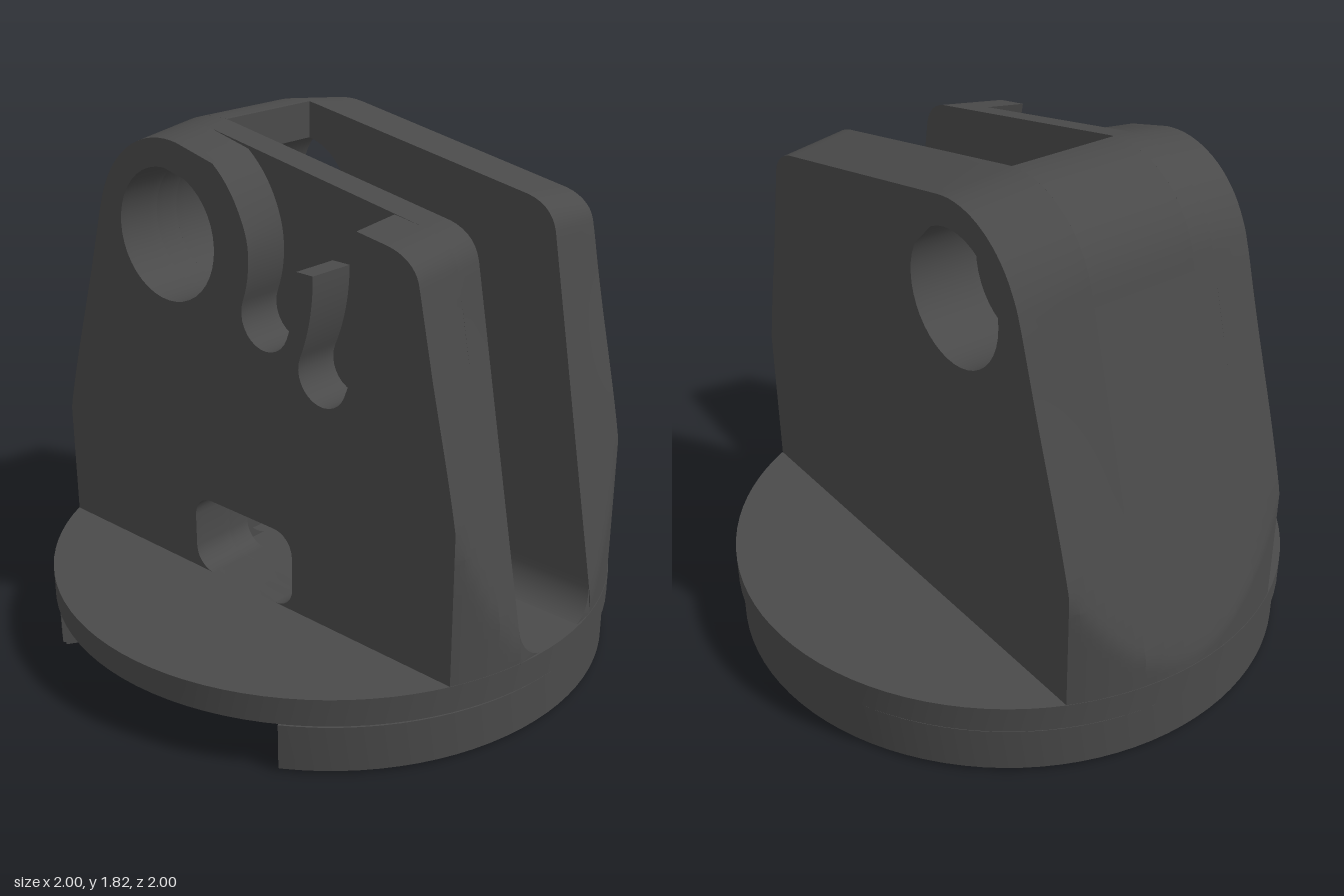
import * as THREE from 'three';
import { toCreasedNormals } from 'three/addons/utils/BufferGeometryUtils.js';

const material = new THREE.MeshStandardMaterial({ color: 0x4a4a4a });
const HALF = 0.45, SLOT = 0.2, POCKET = 0.29;      // tower half width, slot half width, pocket floor
const PIN = [-0.32, 1.47];                         // pin hole centre as (z, y)
const SLOT_BACK = -0.28, FLOOR = 0.275;

const V = (a, b) => new THREE.Vector2(a, b);
const polar = (r, a, c = PIN) => V(c[0] + r * Math.cos(a), c[1] + r * Math.sin(a));
const arc = (r, a0, a1, n = 20, c = PIN) =>
  Array.from({ length: n + 1 }, (_, i) => polar(r, a0 + (a1 - a0) * i / n, c));
const line = (p, q, n) => Array.from({ length: n + 1 }, (_, i) => p.clone().lerp(q, i / n));

// Profile pieces in the (z, y) plane
const frontEdge = () => [
  ...line(V(1, 0.2), V(0.755, 1.55), 45),
  ...new THREE.QuadraticBezierCurve(V(0.755, 1.55), V(0.735, 1.64), V(0.62, 1.655)).getPoints(8).slice(1),
];
const backEdge = (startAngle) => [
  ...arc(0.35, startAngle, 2.871, 18),
  ...line(V(-0.657, 1.563), V(-1, 0.3), 45).slice(1),
  V(-1, 0.2),
];

// Arc-shaped pocket with two round-ended grooves and a rib between them
function pocketEdge() {
  const groove = (rOut, rIn, aOut, aIn, end) => {
    const r = (rOut + rIn) / 2, c = polar(r, end);
    return [
      ...arc(rOut, aOut, end, 14),
      ...arc((rOut - rIn) / 2, end, end - Math.PI, 14, [c.x, c.y]).slice(1),
      ...arc(rIn, end, aIn, 18).slice(1),
    ];
  };
  return [
    ...groove(0.86, 0.66, 0.237, 0, -0.43),
    ...groove(0.59, 0.38, 0, 0.93, -0.4),
  ];
}

function windowHole() {
  const r = 0.08, z = 0.23 - r, y0 = FLOOR + r, y1 = 0.555 - r, q = Math.PI / 2;
  return [
    ...arc(r, 0, q, 6, [z, y1]), ...arc(r, q, 2 * q, 6, [-z, y1]),
    ...arc(r, 2 * q, 3 * q, 6, [-z, y0]), ...arc(r, 3 * q, 4 * q, 6, [z, y0]),
  ];
}

function add(group, name, geometry) {
  const mesh = new THREE.Mesh(toCreasedNormals(geometry, 0.45), material);
  mesh.name = name;
  group.add(mesh);
}

function reshape(geometry, rule) {
  const p = geometry.attributes.position, v = new THREE.Vector3();
  for (let i = 0; i < p.count; i++) {
    v.fromBufferAttribute(p, i);
    rule(v);
    p.setXYZ(i, v.x, v.y, v.z);
  }
  return geometry;
}

// Trim to the round base and narrow the upper rim slightly toward the sides
function trimTower(v) {
  const t = Math.max(0, (Math.abs(v.x) - SLOT) / (HALF - SLOT));
  const away = Math.hypot(v.z - PIN[0], v.y - PIN[1]) > 0.3;
  if (away) {
    const d = 0.03 * t * THREE.MathUtils.smoothstep(v.y, 0.8, 1.5);
    v.z -= d * v.z;
    v.y -= d * THREE.MathUtils.smoothstep(v.y, 1.45, 1.65);
  }
  const limit = 0.998 * Math.sqrt(1 - v.x * v.x);
  v.z = THREE.MathUtils.clamp(v.z, -limit, limit);
}

// Slab of the tower between two x positions
function slab(points, holes, x0, x1, steps) {
  const shape = new THREE.Shape(points);
  shape.holes = holes.map((h) => new THREE.Path(h));
  const g = new THREE.ExtrudeGeometry(shape, { depth: x1 - x0, steps, bevelEnabled: false });
  g.rotateY(-Math.PI / 2).translate(x1, 0, 0);
  return reshape(g, trimTower);
}

// Rounded corner strip at the bottom of the slot
function slotFillet(side, z0, z1) {
  const r = 0.12, pts = [V(SLOT, 0.27), ...arc(r, 0, -Math.PI / 2, 8, [SLOT - r, 0.27 + r])];
  const shape = new THREE.Shape(pts.map((p) => V(p.x * side, p.y)));
  const g = new THREE.ExtrudeGeometry(shape, { depth: z1 - z0, bevelEnabled: false }).translate(0, 0, z0);
  return reshape(g, (v) => {
    v.z = Math.min(v.z, 1 - (v.y - 0.2) * 0.1815, Math.sqrt(1 - v.x * v.x));
  });
}

// Disc with a wedge missing on the right and a round relief at its centre
function wedgeDisc(radius, y0, y1) {
  const a = Math.PI - 0.565;
  const shape = new THREE.Shape([...arc(radius, -a, a, 80, [0, 0]), ...arc(0.1, a, -a, 24, [0, 0])]);
  return new THREE.ExtrudeGeometry(shape, { depth: y1 - y0, bevelEnabled: false })
    .rotateX(-Math.PI / 2).translate(0, y0, 0);
}

export function createModel() {
  const model = new THREE.Group();
  model.name = 'swivelBracket';

  // Base
  const base = new THREE.Group();
  base.name = 'base';
  add(base, 'flange', new THREE.CylinderGeometry(1, 1, 0.095, 96).translate(0, 0.2275, 0));
  add(base, 'neck', wedgeDisc(0.965, 0.16, 0.185));
  add(base, 'lowerDisc', wedgeDisc(0.99, 0.01, 0.168));
  add(base, 'lowerRim', wedgeDisc(0.98, 0, 0.012));
  model.add(base);

  // Tower
  const tower = new THREE.Group();
  tower.name = 'tower';
  const pinHole = arc(0.225, 0, Math.PI * 2, 40).slice(0, -1);
  const full = [...frontEdge(), ...backEdge(1.405)];
  const pocketed = [...frontEdge(), ...pocketEdge(), ...backEdge(1.405)];
  const rear = [V(SLOT_BACK, 0.2), ...arc(0.225, -1.392, -4.891, 28), ...backEdge(1.456)];

  add(tower, 'leftCheek', slab(full, [pinHole], SLOT, HALF, 8));
  add(tower, 'rightCheekInner', slab(full, [pinHole, windowHole()], -POCKET, -SLOT, 3));
  add(tower, 'rightCheekOuter', slab(pocketed, [pinHole, windowHole()], -HALF, -POCKET, 5));
  add(tower, 'rearWall', slab(rear, [], -SLOT, SLOT, 10));

  // Slot floor corners, interrupted by the side window
  add(tower, 'leftSlotFillet', slotFillet(1, SLOT_BACK, 1));
  add(tower, 'rightSlotFilletFront', slotFillet(-1, 0.23, 1));
  add(tower, 'rightSlotFilletRear', slotFillet(-1, SLOT_BACK, -0.23));
  model.add(tower);

  return model;
}
